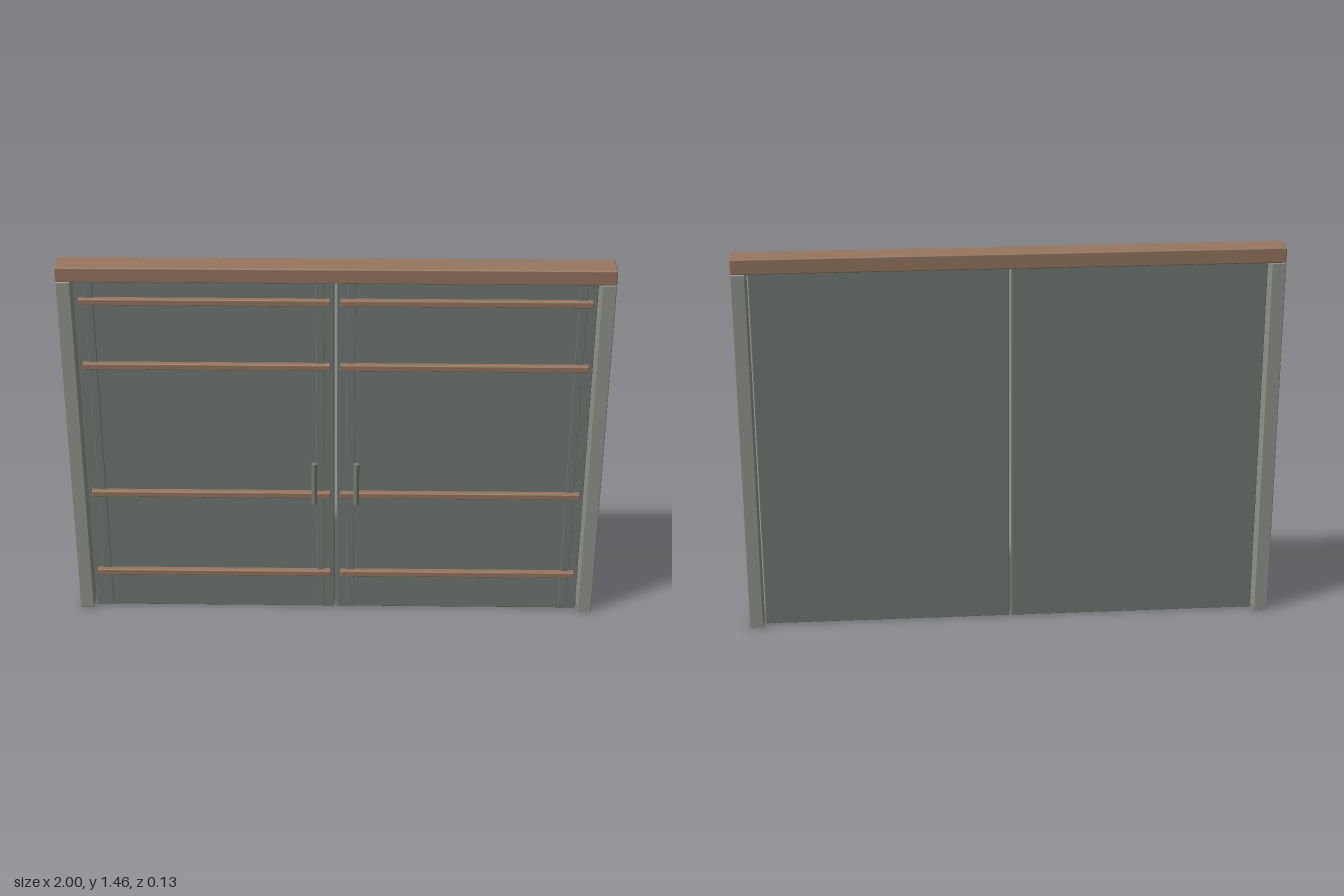
import * as THREE from 'three';
import { RoundedBoxGeometry } from 'three/addons/geometries/RoundedBoxGeometry.js';

const material = (color) => new THREE.MeshStandardMaterial({ color });

// Slightly eased box given by its limits on each axis
function block(name, [x0, x1], [y0, y1], [z0, z1], mat, bevel = 0.003) {
  const geometry = new RoundedBoxGeometry(x1 - x0, y1 - y0, z1 - z0, 1, bevel);
  const mesh = new THREE.Mesh(geometry, mat);
  mesh.position.set((x0 + x1) / 2, (y0 + y1) / 2, (z0 + z1) / 2);
  mesh.name = name;
  return mesh;
}

export function createModel() {
  const model = new THREE.Group();
  model.name = 'doubleDoor';
  const wood = material(0x96765f);
  const frame = material(0x92968a);
  const panel = material(0x707a75);
  const metal = material(0x7a7c72);

  // Frame
  const frameZ = [-0.067, 0.033];
  model.add(block('header', [-1, 1], [1.403, 1.46], frameZ, wood, 0.005));

  for (const side of [1, -1]) {
    const span = (a, b) => (side > 0 ? [a, b] : [-b, -a]);
    const label = side > 0 ? 'left' : 'right';
    model.add(block(label + 'Jamb', span(0.947, 1), [0, 1.403], frameZ, frame, 0.004));

    // Door leaf with upright strips and cross rails
    const door = new THREE.Group();
    door.name = label + 'Door';
    door.add(block('leaf', span(0.005, 0.939), [0, 1.4], [-0.037, 0.007], panel));
    for (const x of [0.041, 0.872]) {
      door.add(block('uprightStrip', span(x, x + 0.03), [0.015, 1.398], [0.004, 0.014], panel, 0.002));
    }
    for (const y of [0.166, 0.52, 1.064, 1.324]) {
      door.add(block('crossRail', span(0.018, 0.924), [y - 0.012, y + 0.012], [0.006, 0.031], wood, 0.004));
    }

    // Upright pull bar
    const handle = new THREE.Mesh(new THREE.CylinderGeometry(0.0105, 0.0105, 0.175, 16), metal);
    handle.position.set(side * 0.079, 0.588, 0.0565);
    handle.name = 'handle';
    door.add(handle);
    model.add(door);
  }
  return model;
}
